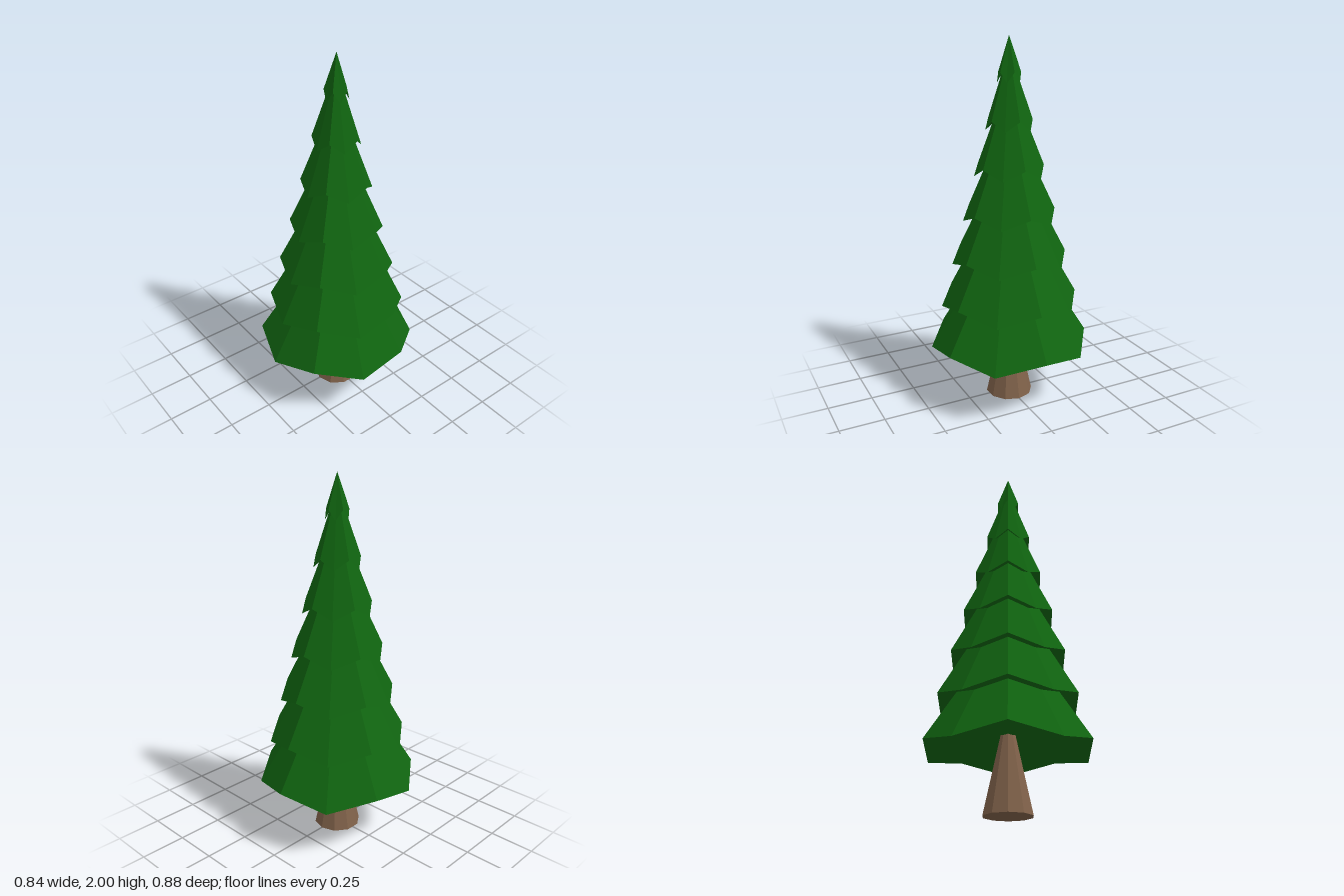
import * as THREE from 'three';

const SIDES = 10;

// A hollow-bottomed cone whose rim zigzags: every second corner is lifted.
function tierGeometry(radius, height, lift, hollow) {
  const geo = new THREE.ConeGeometry(radius, height, SIDES, 1);
  geo.translate(0, height / 2, 0);
  const p = geo.attributes.position;
  for (let i = 0; i < p.count; i++) {
    if (p.getY(i) > height / 2) continue;
    const x = p.getX(i), z = p.getZ(i);
    if (Math.hypot(x, z) < radius / 2) {
      p.setY(i, hollow); // centre of the underside
    } else {
      const corner = Math.round(Math.atan2(x, z) / (2 * Math.PI / SIDES));
      if (Math.abs(corner) % 2 === 1) p.setY(i, lift);
    }
  }
  geo.computeVertexNormals();
  return geo;
}

export function createModel() {
  const tree = new THREE.Group();
  tree.name = 'pineTree';
  const green = new THREE.MeshStandardMaterial({ color: 0x106410, flatShading: true });
  const brown = new THREE.MeshStandardMaterial({ color: 0x80624a, flatShading: true });

  // Tapering trunk
  const trunk = new THREE.Mesh(new THREE.CylinderGeometry(0.03, 0.13, 0.45, SIDES), brown);
  trunk.name = 'trunk';
  trunk.position.y = 0.225;
  tree.add(trunk);

  // Seven overlapping tiers, evenly stepped in radius and height
  const tips = [1.05, 1.26, 1.445, 1.62, 1.795, 1.93, 2.0];
  tips.forEach((tip, i) => {
    const base = 0.3 + i * 0.244;
    const radius = 0.44 * (1 - i / tips.length);
    const tier = new THREE.Mesh(tierGeometry(radius, tip - base, 0.053, 0.11), green);
    tier.name = `foliageTier${i + 1}`;
    tier.position.y = base;
    tree.add(tier);
  });

  return tree;
}
